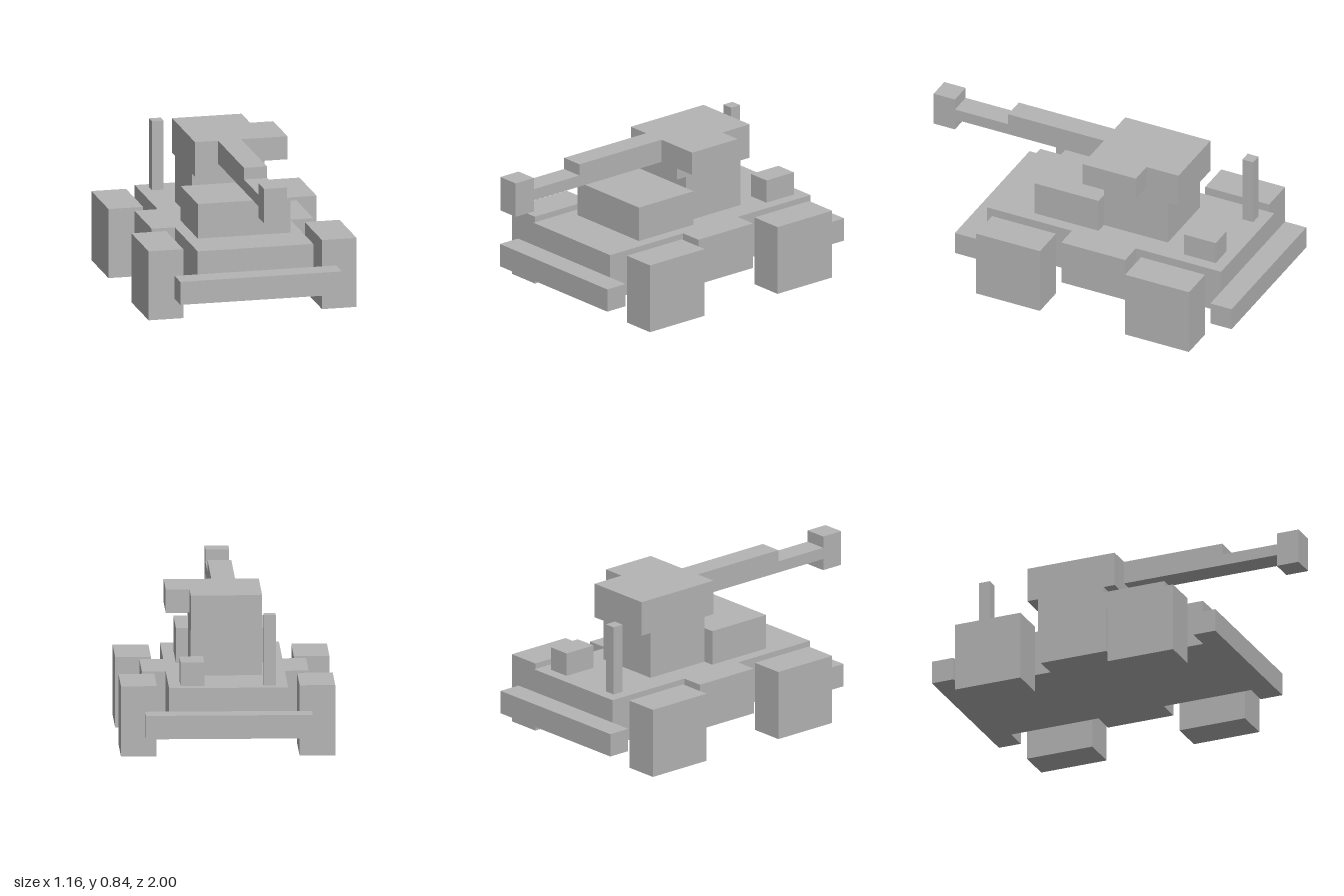
import * as THREE from 'three';

// One block is 1/31 of the total length; all parts sit on this block grid.
const U = 2 / 31;

export function createModel() {
  const model = new THREE.Group();
  model.name = 'blockTank';
  const grey = new THREE.MeshStandardMaterial({ color: 0xb4b4b4 });
  grey.name = 'plain grey';

  // Box from ranges in blocks: x from the centre, y from the ground, z from the rear end
  function box(name, [x0, x1], [y0, y1], [z0, z1], parent = model) {
    const geometry = new THREE.BoxGeometry((x1 - x0) * U, (y1 - y0) * U, (z1 - z0) * U);
    const mesh = new THREE.Mesh(geometry, grey);
    mesh.name = name;
    mesh.position.set((x0 + x1) / 2 * U, (y0 + y1) / 2 * U, (z0 + z1) / 2 * U - 1);
    parent.add(mesh);
    return mesh;
  }

  // Hull and bumpers
  box('hull', [-5, 5], [2, 6], [2, 24]);
  box('rearBumper', [-7, 7], [2, 4], [0, 2]);
  box('frontBumper', [-7, 7], [2, 4], [24, 26]);

  // Mirrored side pods and wheel blocks
  for (const [side, s] of [['left', 1], ['right', -1]]) {
    const span = (a, b) => (s > 0 ? [a, b] : [-b, -a]);
    box(side + 'SidePod', span(5, 7), [2, 6], [10, 16]);
    box(side + 'RearWheel', span(6, 9), [0, 6], [3, 9]);
    box(side + 'FrontWheel', span(6, 9), [0, 6], [17, 23]);
  }

  // Deck fittings
  box('frontDeckBlock', [-4, 4], [6, 9], [14, 20]);
  box('rearDeckBox', [2, 4], [6, 8], [3, 6]);
  box('antenna', [-4, -3], [6, 12], [3, 4]);

  // Turret with side box and gun
  const turret = new THREE.Group();
  turret.name = 'turret';
  model.add(turret);
  box('turretPedestal', [-3, 3], [6, 10], [8, 14], turret);
  box('turretHead', [-3, 3], [10, 13], [7, 15], turret);
  box('turretSideBox', [3, 5], [11, 13], [10, 15], turret);
  box('gunSleeve', [-1, 1], [11, 13], [15, 24], turret);
  box('gunBarrel', [-1, 1], [11, 12], [24, 29], turret);
  box('gunMuzzle', [-1, 1], [10, 13], [29, 31], turret);

  return model;
}
